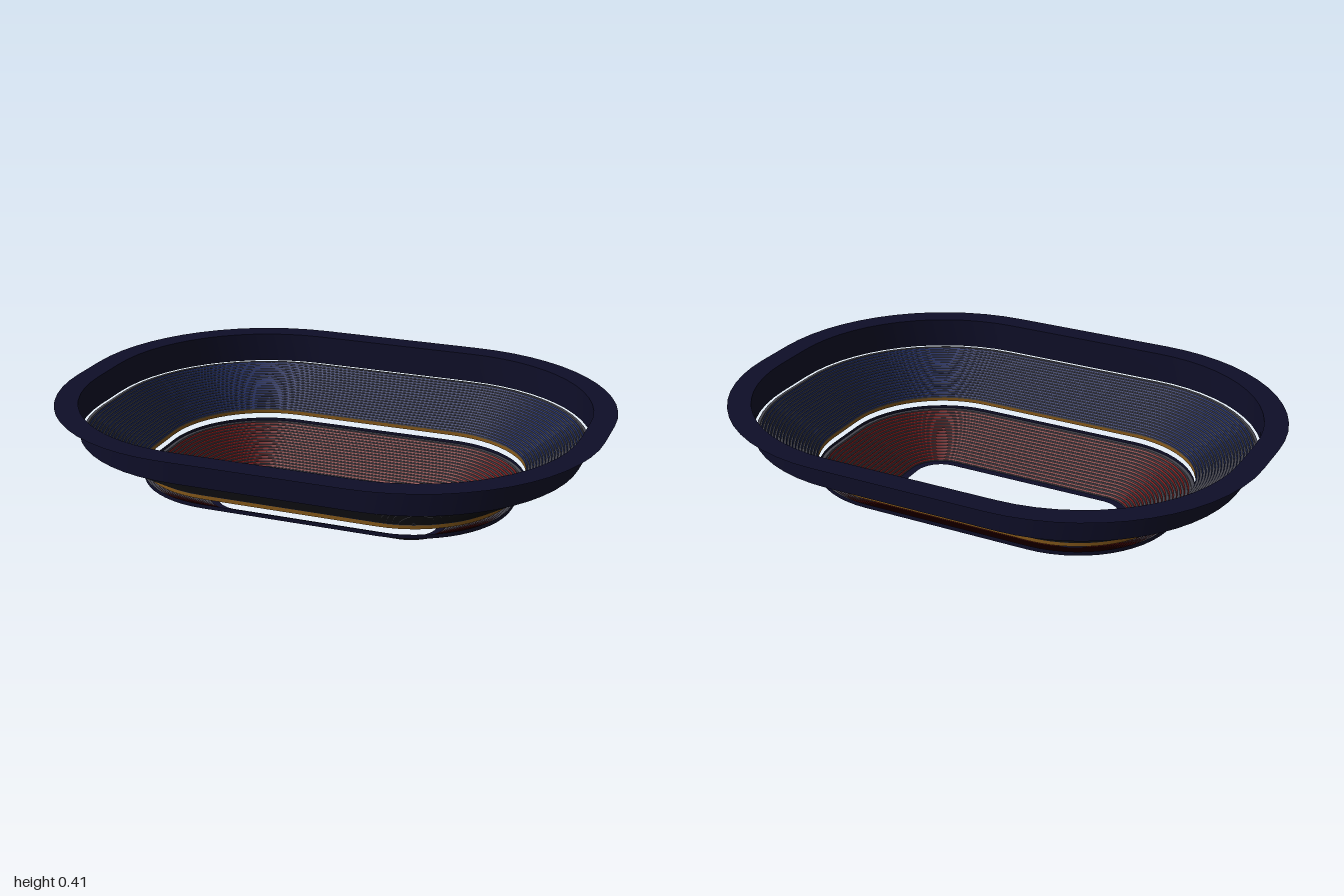
import * as THREE from 'three';
import { mergeGeometries } from 'three/addons/utils/BufferGeometryUtils.js';

// Every ring follows a rounded rectangle: radius r around four corner centres
const CX = 0.32, CZ = 0.08, CORNER = 14;

function mat(name, color) {
  const m = new THREE.MeshStandardMaterial({ color, side: THREE.DoubleSide });
  m.name = name;
  return m;
}

// Points of the plan outline at radius r
function outline(r) {
  const pts = [];
  for (let q = 0; q < 4; q++) {
    const sx = q === 0 || q === 3 ? 1 : -1;
    const sz = q < 2 ? 1 : -1;
    for (let i = 0; i <= CORNER; i++) {
      const a = (q + i / CORNER) * Math.PI / 2;
      pts.push([sx * CX + r * Math.cos(a), sz * CZ + r * Math.sin(a)]);
    }
  }
  return pts;
}

// Closed band between two [radius, height] points
function band([r0, y0], [r1, y1]) {
  const a = outline(r0), b = outline(r1), n = a.length;
  const pos = [], idx = [];
  for (let i = 0; i < n; i++) {
    pos.push(a[i][0], y0, a[i][1], b[i][0], y1, b[i][1]);
    const j = (i + 1) % n;
    idx.push(2 * i, 2 * i + 1, 2 * j, 2 * j, 2 * i + 1, 2 * j + 1);
  }
  const g = new THREE.BufferGeometry();
  g.setAttribute('position', new THREE.Float32BufferAttribute(pos, 3));
  g.setIndex(idx);
  g.computeVertexNormals();
  return g;
}

export function createModel() {
  const concrete = mat('concrete', 0x45454e);
  const redSeat = mat('red seat', 0x7c1a1a);
  const blueSeat = mat('blue seat', 0x1f2d66);
  const navy = mat('navy', 0x0e0e28);
  const gold = mat('gold', 0x86591a);

  const model = new THREE.Group();
  model.name = 'stadiumBowl';

  function add(parent, name, geometry, material) {
    const mesh = new THREE.Mesh(geometry, material);
    mesh.name = name;
    parent.add(mesh);
  }

  // Stepped tier with a leaning seat strip on each row
  function tier(name, r0, r1, y0, y1, rows, seatMaterial) {
    const group = new THREE.Group();
    group.name = name;
    const run = (r1 - r0) / rows, rise = (y1 - y0) / rows;
    const steps = [], seats = [];
    for (let i = 0; i < rows; i++) {
      const r = r0 + i * run, y = y0 + i * rise, top = y + rise;
      steps.push(band([r, y], [r, top]), band([r, top], [r + run, top]));
      if (i < rows - 1) {
        seats.push(band([r + run * 0.1, top + rise * 0.1], [r + run * 0.38, top + rise * 0.97]));
      }
    }
    add(group, name + 'Steps', mergeGeometries(steps), concrete);
    add(group, name + 'Seats', mergeGeometries(seats), seatMaterial);
    model.add(group);
  }

  tier('lowerTier', 0.13, 0.37, 0, 0.12, 18, redSeat);
  tier('upperTier', 0.37, 0.585, 0.165, 0.3, 20, blueSeat);

  // Flat border around the field opening
  add(model, 'fieldBorder', band([0.1, 0.002], [0.131, 0.002]), navy);
  // Parapet behind the lower tier, and the trim under the upper tier
  add(model, 'lowerParapet', band([0.37, 0.117], [0.37, 0.132]), navy);
  add(model, 'upperTrim', band([0.37, 0.152], [0.37, 0.166]), gold);
  // Outer wall and the flat roof rim
  add(model, 'outerWall', band([0.595, 0.3], [0.595, 0.412]), navy);
  add(model, 'roofRim', band([0.595, 0.412], [0.68, 0.412]), navy);

  return model;
}
